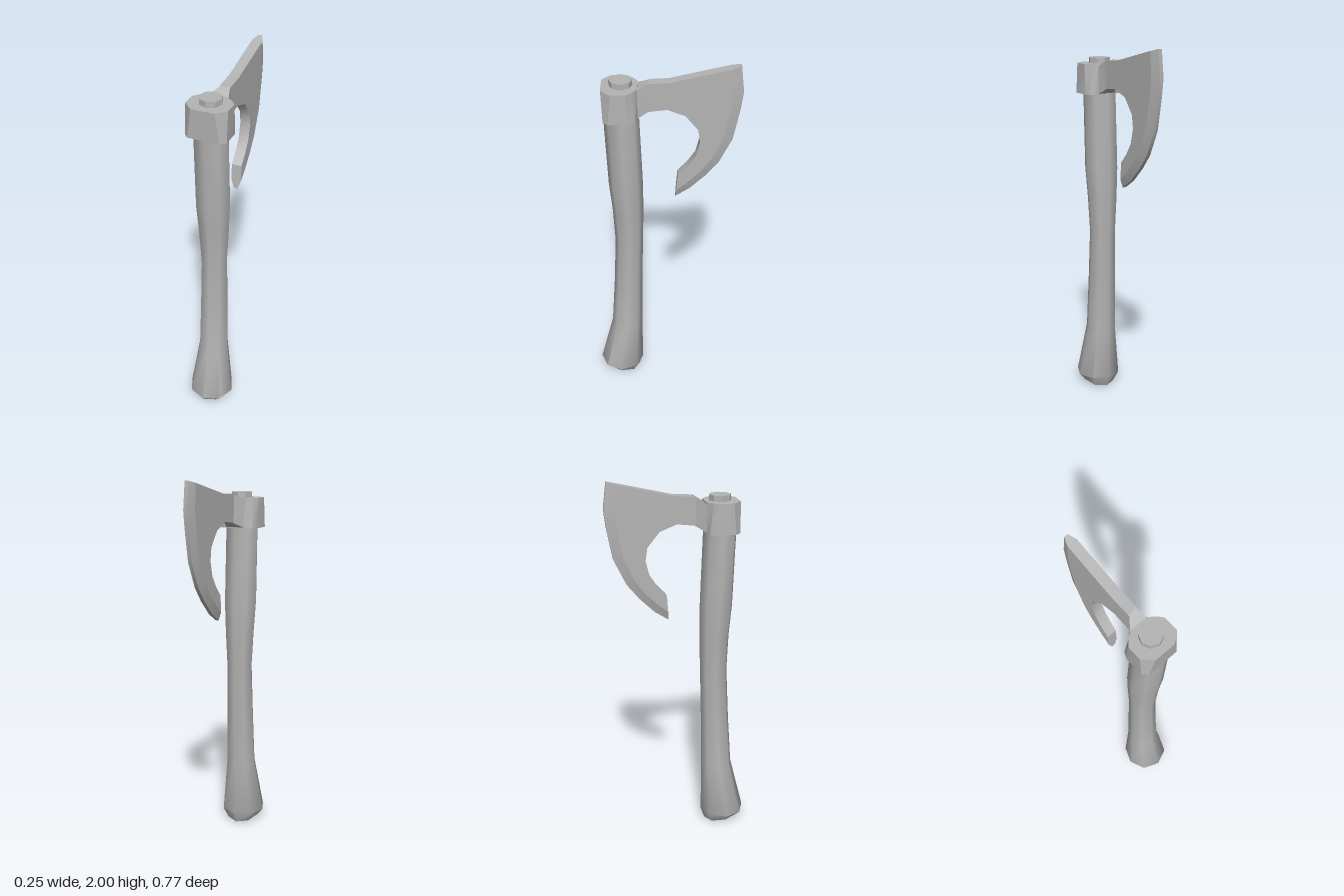
import * as THREE from 'three';
import { toCreasedNormals } from 'three/addons/utils/BufferGeometryUtils.js';

// Skin a list of closed cross-sections and cap both ends
function loft(rings, crease) {
  const n = rings[0].length;
  const index = [];
  for (let i = 0; i < rings.length - 1; i++) {
    for (let j = 0; j < n; j++) {
      const k = (j + 1) % n;
      const a = i * n + j, b = i * n + k, c = a + n, d = b + n;
      index.push(a, b, d, a, d, c);
    }
  }
  const last = (rings.length - 1) * n;
  for (let j = 1; j < n - 1; j++) {
    index.push(0, j + 1, j);
    index.push(last, last + j, last + j + 1);
  }
  const g = new THREE.BufferGeometry();
  g.setAttribute('position', new THREE.Float32BufferAttribute(rings.flat(2), 3));
  g.setIndex(index);
  return toCreasedNormals(g, crease);
}

export function createModel() {
  const group = new THREE.Group();
  const grey = new THREE.MeshStandardMaterial({ color: 0xb4b4b4 });
  grey.name = 'plain grey';
  const add = (name, geometry) => {
    const mesh = new THREE.Mesh(geometry, grey);
    mesh.name = name;
    group.add(mesh);
    return mesh;
  };

  // Handle: eight-sided sections [yFront, yBack, zFront, zBack, halfWidth]
  const sections = [
    [0.045, 0.0, 0.37, 0.157, 0.09],
    [0.065, 0.065, 0.384, 0.134, 0.125],
    [0.37, 0.37, 0.308, 0.135, 0.083],
    [0.65, 0.65, 0.288, 0.13, 0.077],
    [0.95, 0.95, 0.272, 0.122, 0.071],
    [1.15, 1.15, 0.28, 0.116, 0.083],
    [1.32, 1.32, 0.295, 0.116, 0.093],
    [1.74, 1.74, 0.309, 0.13, 0.09],
  ];
  const handleRings = sections.map(([yf, yb, zf, zb, w]) =>
    Array.from({ length: 8 }, (_, i) => {
      const a = (i * Math.PI) / 4;
      const t = (1 + Math.cos(a)) / 2;
      return [w * Math.sin(a), yb + (yf - yb) * t, zb + (zf - zb) * t];
    }));
  add('handle', loft(handleRings, 0.9));

  // Collar: mirrored plan, corners cut more strongly at the top
  const collarRing = (y, half) => [
    ...half.map(([x, z]) => [x, y, z]),
    ...half.map(([x, z]) => [-x, y, z]).reverse(),
  ];
  add('collar', loft([
    collarRing(1.73, [[0.085, 0.306], [0.109, 0.28], [0.109, 0.18], [0.093, 0.147], [0.052, 0.135]]),
    collarRing(1.89, [[0.06, 0.313], [0.109, 0.265], [0.109, 0.19], [0.085, 0.162], [0.05, 0.135]]),
  ], 0.5));

  // End of the handle showing through the collar
  const plug = new THREE.CylinderGeometry(0.058, 0.058, 0.05, 8);
  add('handlePlug', toCreasedNormals(plug, 0.5)).position.set(0, 1.895, 0.217);

  // Neck flaring from the blade thickness to the collar
  const x0 = -0.013, x1 = 0.042;
  const neckRing = (z, lo, hi, bottom, top) =>
    [[lo, bottom, z], [lo, top, z], [hi, top, z], [hi, bottom, z]];
  add('neck', loft([
    neckRing(0.14, -0.056, 0.056, 1.732, 1.878),
    neckRing(0.09, x0, x1, 1.76, 1.91),
    neckRing(0.075, x0, x1, 1.768, 1.916),
  ], 0.4));

  // Cutting edge and the line where its bevel begins, [z, y], bottom to top
  const edge = [[-0.053, 1.257], [-0.127, 1.305], [-0.21, 1.385], [-0.275, 1.465],
    [-0.34, 1.6], [-0.372, 1.77], [-0.383, 1.86], [-0.366, 2.0]];
  const shoulder = [[-0.057, 1.305], [-0.108, 1.345], [-0.178, 1.415], [-0.235, 1.49],
    [-0.293, 1.615], [-0.323, 1.775], [-0.332, 1.86], [-0.325, 1.989]];

  // Blade body: bearded outline extruded across x
  const outline = [
    [0.08, 1.765], [0.08, 1.915], [-0.02, 1.92],
    ...shoulder.slice().reverse(),
    [-0.064, 1.395], [-0.115, 1.45], [-0.155, 1.51], [-0.175, 1.59],
    [-0.165, 1.66], [-0.1, 1.74], [-0.01, 1.775],
  ];
  const shape = new THREE.Shape(outline.map(([z, y]) => new THREE.Vector2(-z, y)));
  const body = new THREE.ExtrudeGeometry(shape, { depth: x1 - x0, bevelEnabled: false });
  body.rotateY(Math.PI / 2);
  body.translate(x0, 0, 0);
  add('blade', toCreasedNormals(body, 0.6));

  // Bevel narrowing to the cutting edge
  add('cuttingEdge', loft(edge.map(([ez, ey], i) => {
    const [sz, sy] = shoulder[i];
    return [[x0, sy, sz], [x1, sy, sz], [0.025, ey, ez], [0.004, ey, ez]];
  }), 0.5));

  return group;
}
